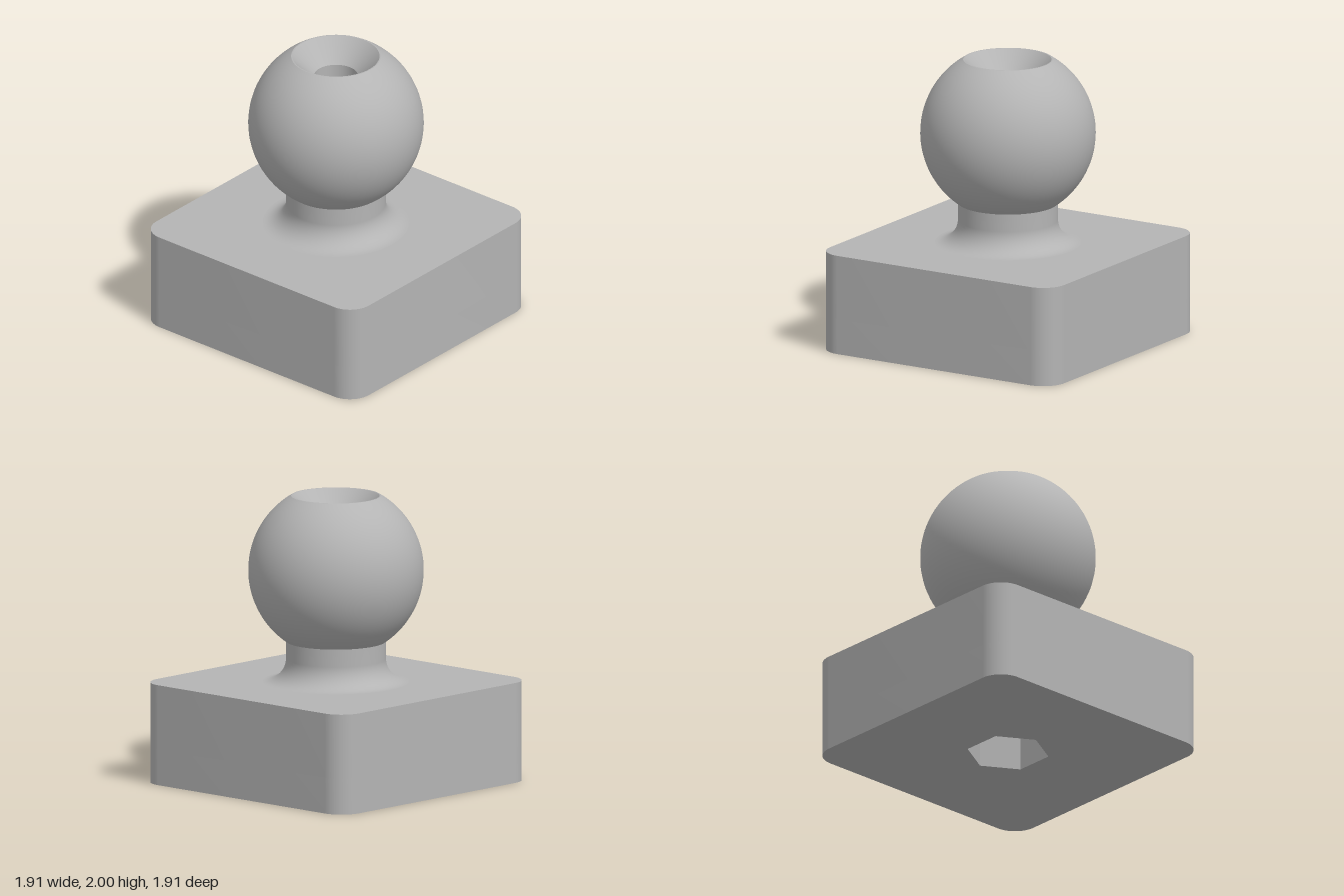
import * as THREE from 'three';
import { toCreasedNormals } from 'three/addons/utils/BufferGeometryUtils.js';

const HALF = 0.955, CORNER = 0.17, BASE_H = 0.7, SOCKET_H = 0.25;
const NECK_R = 0.345, FILLET = 0.16, BALL_R = 0.605, BALL_Y = 1.48, TOP = 2;
const BORE_R = 0.15, SINK_R = 0.3, SINK_DEPTH = 0.15, SEGMENTS = 64;

// Square with rounded corners, traced counter-clockwise
function roundedSquare() {
  const s = new THREE.Shape(), c = HALF - CORNER;
  [[c, c], [-c, c], [-c, -c], [c, -c]].forEach(([x, y], i) =>
    s.absarc(x, y, CORNER, i * Math.PI / 2, (i + 1) * Math.PI / 2, false));
  s.closePath();
  return s;
}

// Horizontal slab with one hole through it
function slab(hole, y, height) {
  const shape = roundedSquare();
  shape.holes.push(hole);
  const g = new THREE.ExtrudeGeometry(shape, { depth: height, bevelEnabled: false, curveSegments: SEGMENTS / 2 });
  g.rotateX(-Math.PI / 2).translate(0, y, 0);
  return toCreasedNormals(g, 0.5);
}

// Points on an arc of a profile
function arc(cx, cy, r, from, to, n) {
  return Array.from({ length: n + 1 }, (_, i) => {
    const a = from + (to - from) * i / n;
    return [cx + r * Math.cos(a), cy + r * Math.sin(a)];
  });
}

export function createModel() {
  const model = new THREE.Group();
  model.name = 'ballMount';
  const grey = new THREE.MeshStandardMaterial({ color: 0xb4b4b4 });
  grey.name = 'grey';

  const add = (name, geometry) => {
    const mesh = new THREE.Mesh(geometry, grey);
    mesh.name = name;
    model.add(mesh);
  };
  const turned = (name, points) =>
    add(name, new THREE.LatheGeometry(points.map(p => new THREE.Vector2(...p)), SEGMENTS));

  // Base: hexagonal nut socket below, round bore above
  const hex = new THREE.Path().setFromPoints(Array.from({ length: 6 }, (_, i) => {
    const a = -(i + 0.5) * Math.PI / 3;
    return new THREE.Vector2(0.285 * Math.cos(a), 0.285 * Math.sin(a));
  }));
  hex.closePath();
  const round = new THREE.Path().absarc(0, 0, BORE_R, 0, Math.PI * 2, true);
  add('baseWithHexSocket', slab(hex, 0, SOCKET_H));
  add('baseTop', slab(round, SOCKET_H, BASE_H - SOCKET_H));

  // Neck with a fillet flaring into the base
  const ballStart = -Math.acos(NECK_R / BALL_R);
  const ballEnd = Math.asin((TOP - BALL_Y) / BALL_R);
  const neckTop = BALL_Y + BALL_R * Math.sin(ballStart);
  turned('neck', [
    ...arc(NECK_R + FILLET, BASE_H + FILLET, FILLET, -Math.PI / 2, -Math.PI, 14),
    [NECK_R, neckTop],
  ]);

  // Ball, cut flat at the top
  turned('ball', arc(0, BALL_Y, BALL_R, ballStart, ballEnd, 40));

  // Flat rim, countersink and bore
  const sinkY = TOP - SINK_DEPTH;
  turned('rim', [[BALL_R * Math.cos(ballEnd), TOP], [SINK_R, TOP]]);
  turned('countersink', [[SINK_R, TOP], [BORE_R, sinkY]]);
  turned('bore', [[BORE_R, sinkY], [BORE_R, BASE_H]]);

  return model;
}
